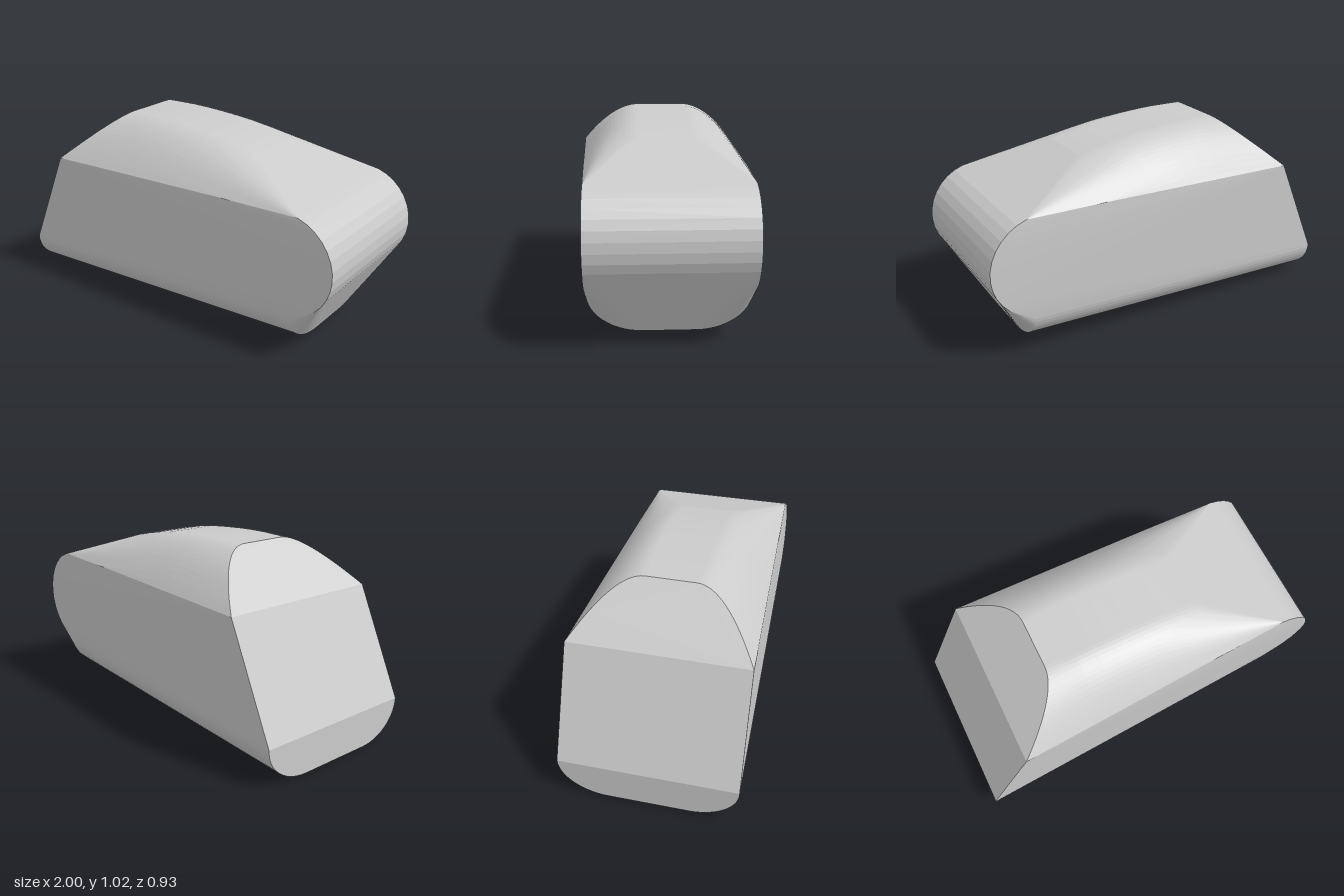
import * as THREE from 'three';
import { ConvexGeometry } from 'three/addons/geometries/ConvexGeometry.js';

const { lerp, degToRad } = THREE.MathUtils;

export function createModel() {
  const group = new THREE.Group();
  group.name = 'wedgeBlock';
  const points = [];
  const pair = (x, y, z) => points.push(new THREE.Vector3(x, y, z), new THREE.Vector3(x, y, -z));

  // Half width and shoulder height along the length
  const halfWidth = (x) => lerp(0.467, 0.406, (x + 0.74) / 1.54);
  const shoulder = (x) => lerp(0.765, 0.803, (x + 0.74) / 1.54);

  // Rounded roof edge: from the flat roof strip down to the shoulder
  const roofEdge = (xTop, yTop, xSide, flat, steps) => {
    const curve = new THREE.QuadraticBezierCurve3(
      new THREE.Vector3(xTop, yTop, flat),
      new THREE.Vector3(xTop, yTop, 0.28),
      new THREE.Vector3(xSide, shoulder(xSide), halfWidth(xSide))
    );
    curve.getPoints(steps).forEach((p) => pair(p.x, p.y, p.z));
  };

  // Slanted rear cut, then the roof falling gently to the front
  roofEdge(-0.46, 1.017, -0.74, 0.13, 16);
  [[-0.3, 1.02], [-0.2, 1.019], [-0.1, 1.015], [0, 1.008], [0.1, 0.999], [0.2, 0.985], [0.3, 0.966], [0.38, 0.948]]
    .forEach(([x, y]) => roofEdge(x, y, x, 0.14, 14));

  // Rounded nose across the full width
  for (let i = 0; i <= 14; i++) {
    const a = degToRad(lerp(75, -80, i / 14));
    pair(0.73 + 0.27 * Math.cos(a), 0.537 + 0.27 * Math.sin(a), 0.405);
  }

  // Rounded belly edges at the rear and the front
  const bellyEdge = (x, y, flat, width, height) => {
    for (let i = 0; i <= 14; i++) {
      const a = (i / 14) * Math.PI / 2;
      pair(x, y + height * (1 - Math.cos(a)), flat + (width - flat) * Math.sin(a));
    }
  };
  bellyEdge(-1, 0, 0.21, 0.467, 0.2);
  bellyEdge(0.78, 0.065, 0.13, 0.405, 0.205);

  const body = new THREE.Mesh(
    new ConvexGeometry(points),
    new THREE.MeshStandardMaterial({ color: 0xcccccc })
  );
  body.name = 'body';
  group.add(body);
  return group;
}
